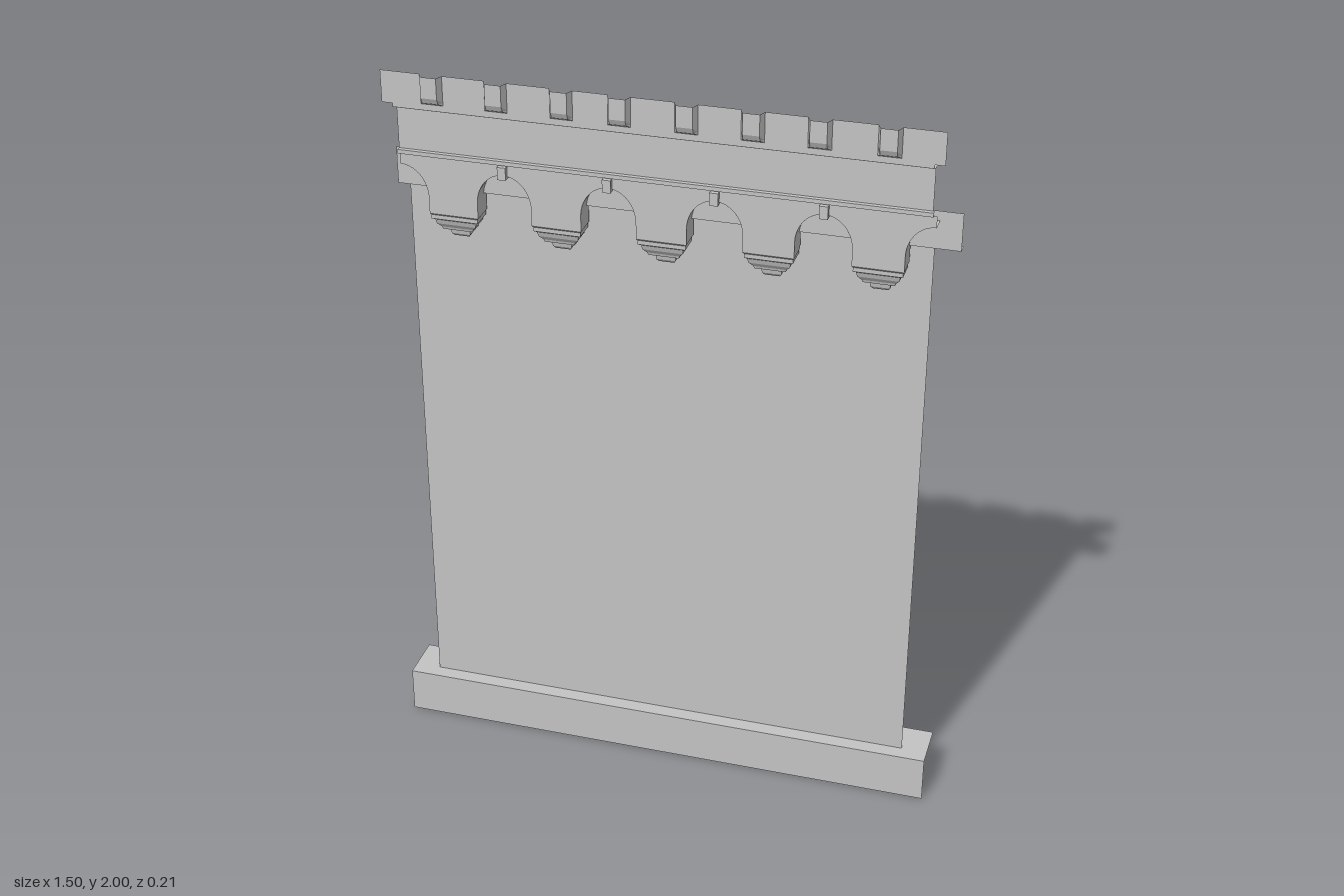
import * as THREE from 'three';

const stone = new THREE.MeshStandardMaterial({ color: 0xc4c4c4, side: THREE.DoubleSide });
stone.name = 'grey stone';

const add = (parent, name, geometry, x = 0, y = 0, z = 0) => {
  const mesh = new THREE.Mesh(geometry, stone);
  mesh.name = name;
  mesh.position.set(x, y, z);
  parent.add(mesh);
  return mesh;
};

// Upright sheet facing the front
const upright = (parent, name, x0, x1, y0, y1, z) =>
  add(parent, name, new THREE.PlaneGeometry(x1 - x0, y1 - y0), (x0 + x1) / 2, (y0 + y1) / 2, z);

// Level sheet facing up
const ledge = (parent, name, x0, x1, z0, z1, y) =>
  add(parent, name, new THREE.PlaneGeometry(x1 - x0, z1 - z0).rotateX(-Math.PI / 2),
    (x0 + x1) / 2, y, (z0 + z1) / 2);

// Faceted open shell: rows of [y, back half width, front half width, front z], top to bottom
function shell(rows, back) {
  const rings = rows.map(([y, wb, wf, z]) =>
    [[-wb, y, back], [-wf, y, z], [wf, y, z], [wb, y, back]]);
  const p = [];
  for (let i = 0; i + 1 < rings.length; i++) {
    for (let j = 0; j < 3; j++) {
      const a = rings[i][j], b = rings[i + 1][j], c = rings[i + 1][j + 1], d = rings[i][j + 1];
      p.push(...a, ...b, ...c, ...a, ...c, ...d);
    }
  }
  const g = new THREE.BufferGeometry();
  g.setAttribute('position', new THREE.Float32BufferAttribute(p, 3));
  g.computeVertexNormals();
  return g;
}

export function createModel() {
  const model = new THREE.Group();
  model.name = 'wallSection';

  // Wall and plinth
  upright(model, 'wall', -0.68, 0.68, 0, 1.67, -0.01);
  upright(model, 'plinthFront', -0.75, 0.75, 0, 0.13, 0.03);
  ledge(model, 'plinthTop', -0.75, 0.75, -0.105, 0.03, 0.13);

  // Backing band behind the arches
  upright(model, 'backingBand', -0.7, 0.75, 1.67, 1.77, 0.02);
  ledge(model, 'backingBandSoffit', -0.7, 0.75, -0.01, 0.02, 1.67);

  // Arcade: front face with arches between the brackets
  const spacing = 0.273, half = 0.065, rx = spacing / 2 - half, ry = 0.085;
  const spring = 1.66, depth = 0.065;
  const centres = [-2, -1, 0, 1, 2].map(i => 0.011 + i * spacing);
  const left = centres[0] - spacing / 2, right = centres[4] + spacing / 2;
  const face = new THREE.Shape();
  face.moveTo(left, 1.775);
  face.lineTo(left, spring + ry);
  centres.forEach((c, i) => {
    face.absellipse(c - spacing / 2, spring, rx, ry, i ? Math.PI : Math.PI / 2, 0, true, 0);
    face.lineTo(c + half, spring);
  });
  face.absellipse(right, spring, rx, ry, Math.PI, Math.PI / 2, true, 0);
  face.lineTo(right, 1.775);
  add(model, 'arcadeFace', new THREE.ShapeGeometry(face, 16), 0, 0, depth);

  // Arch undersides, with half arches at both ends, and keystones
  for (let i = 0; i <= 5; i++) {
    const x = left + i * spacing;
    const start = i === 0 ? 0 : -Math.PI / 2;
    const sweep = i === 0 || i === 5 ? Math.PI / 2 : Math.PI;
    const arch = new THREE.CylinderGeometry(1, 1, depth, 24, 1, true, start, sweep)
      .rotateX(-Math.PI / 2).scale(rx, ry, 1);
    add(model, 'archUnderside', arch, x, spring, depth / 2);
    if (i > 0 && i < 5) {
      add(model, 'keystone', new THREE.BoxGeometry(0.022, 0.034, 0.078), x, 1.755, 0.039);
    }
  }

  // Stepped brackets
  const bracket = shell([
    [spring, half, half, depth], [1.617, half, half, depth],
    [1.613, 0.062, 0.062, 0.062], [1.602, 0.062, 0.062, 0.062],
    [1.598, 0.055, 0.055, 0.056], [1.585, 0.052, 0.052, 0.052],
    [1.574, 0.042, 0.042, 0.044], [1.567, 0.04, 0.04, 0.042],
    [1.565, 0.026, 0.026, 0.025], [1.548, 0.025, 0.025, 0.022],
    [1.54, 0.02, 0.02, 0.015], [1.54, 0.02, 0.02, 0]
  ], 0);
  centres.forEach(c => add(model, 'bracket', bracket, c));

  // Frieze and its mouldings
  ledge(model, 'friezeLowerLedge', -0.675, 0.685, 0.06, 0.072, 1.775);
  upright(model, 'friezeLowerMoulding', -0.675, 0.685, 1.775, 1.786, 0.072);
  ledge(model, 'friezeMouldingTop', -0.675, 0.685, 0.06, 0.072, 1.786);
  upright(model, 'frieze', -0.675, 0.682, 1.775, 1.905, 0.06);
  ledge(model, 'friezeUpperLedge', -0.675, 0.685, 0.06, 0.085, 1.905);
  upright(model, 'friezeUpperMoulding', -0.675, 0.682, 1.905, 1.917, 0.084);

  // Parapet band, notched behind each hollow dentil
  const dentils = [-0.57, -0.403, -0.235, -0.088, 0.08, 0.244, 0.407, 0.575];
  const band = new THREE.Shape();
  band.moveTo(-0.703, 1.915);
  band.lineTo(0.708, 1.915);
  band.lineTo(0.708, 2);
  [...dentils].reverse().forEach(x => {
    band.lineTo(x + 0.029, 2);
    band.lineTo(x + 0.029, 1.922);
    band.lineTo(x - 0.029, 1.922);
    band.lineTo(x - 0.029, 2);
  });
  band.lineTo(-0.703, 2);
  add(model, 'parapetBand', new THREE.ShapeGeometry(band), 0, 0, 0.085);

  const dentil = shell([
    [2, 0.029, 0.021, 0.105], [1.945, 0.029, 0.021, 0.105],
    [1.93, 0.029, 0.021, 0.098], [1.922, 0.029, 0.029, 0.085]
  ], 0.085);
  dentils.forEach(x => add(model, 'dentil', dentil, x));

  return model;
}
